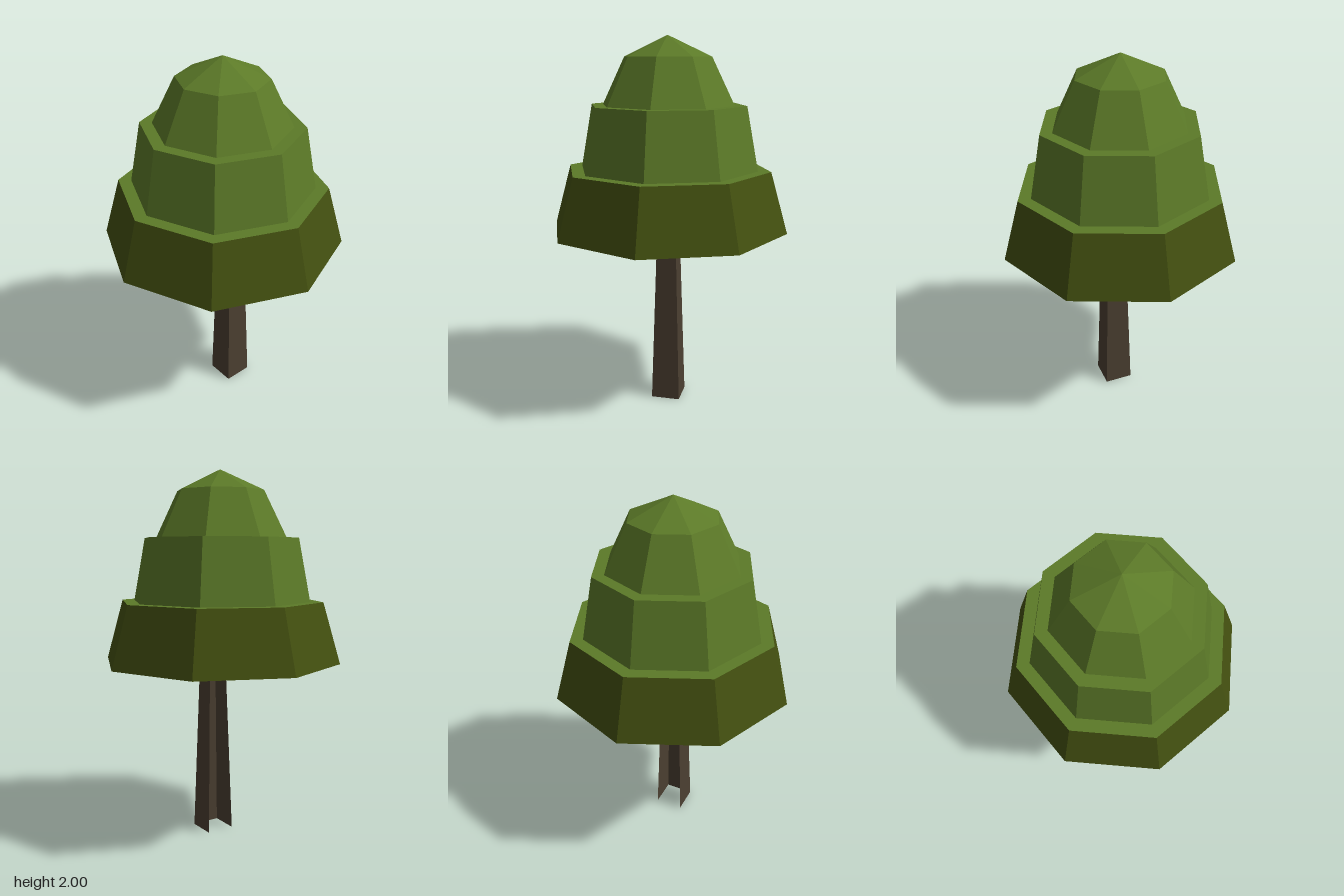
import * as THREE from 'three';

function material(name, color) {
  const m = new THREE.MeshStandardMaterial({ color, flatShading: true, side: THREE.DoubleSide });
  m.name = name;
  return m;
}

export function createModel() {
  const tree = new THREE.Group();
  tree.name = 'tree';
  const bark = material('brown bark', 0x4b3f31);
  const olive = material('dark olive leaves', 0x435010);
  const green = material('green leaves', 0x5c7a28);

  const add = (name, geometry, mat) => {
    const mesh = new THREE.Mesh(geometry, mat);
    mesh.name = name;
    tree.add(mesh);
    return mesh;
  };

  // Hollow square trunk, tapered, with its back side open
  const trunk = add('trunk', new THREE.CylinderGeometry(
    0.051 * Math.SQRT2, 0.078 * Math.SQRT2, 0.975, 3, 1, true, -Math.PI * 0.75, Math.PI * 1.5), bark);
  trunk.position.set(0.017, 0.4875, 0.049);

  // Eight-sided hollow leaf layers: [name, material, profile of radius and height]
  const layers = [
    ['lowerLeaves', olive, [[0.655, 0.97], [0.56, 1.3]]],
    ['lowerLedge', green, [[0.56, 1.3], [0.49, 1.3]]],
    ['middleLeaves', green, [[0.49, 1.3], [0.425, 1.64]]],
    ['upperLedge', green, [[0.425, 1.64], [0.36, 1.64]]],
    ['upperLeaves', green, [[0.36, 1.64], [0.237, 1.89]]],
    ['crownTip', green, [[0.237, 1.89], [0, 2]]],
  ];
  for (const [name, mat, profile] of layers) {
    const points = profile.map(([r, y]) => new THREE.Vector2(r, y));
    add(name, new THREE.LatheGeometry(points, 8), mat);
  }
  return tree;
}
